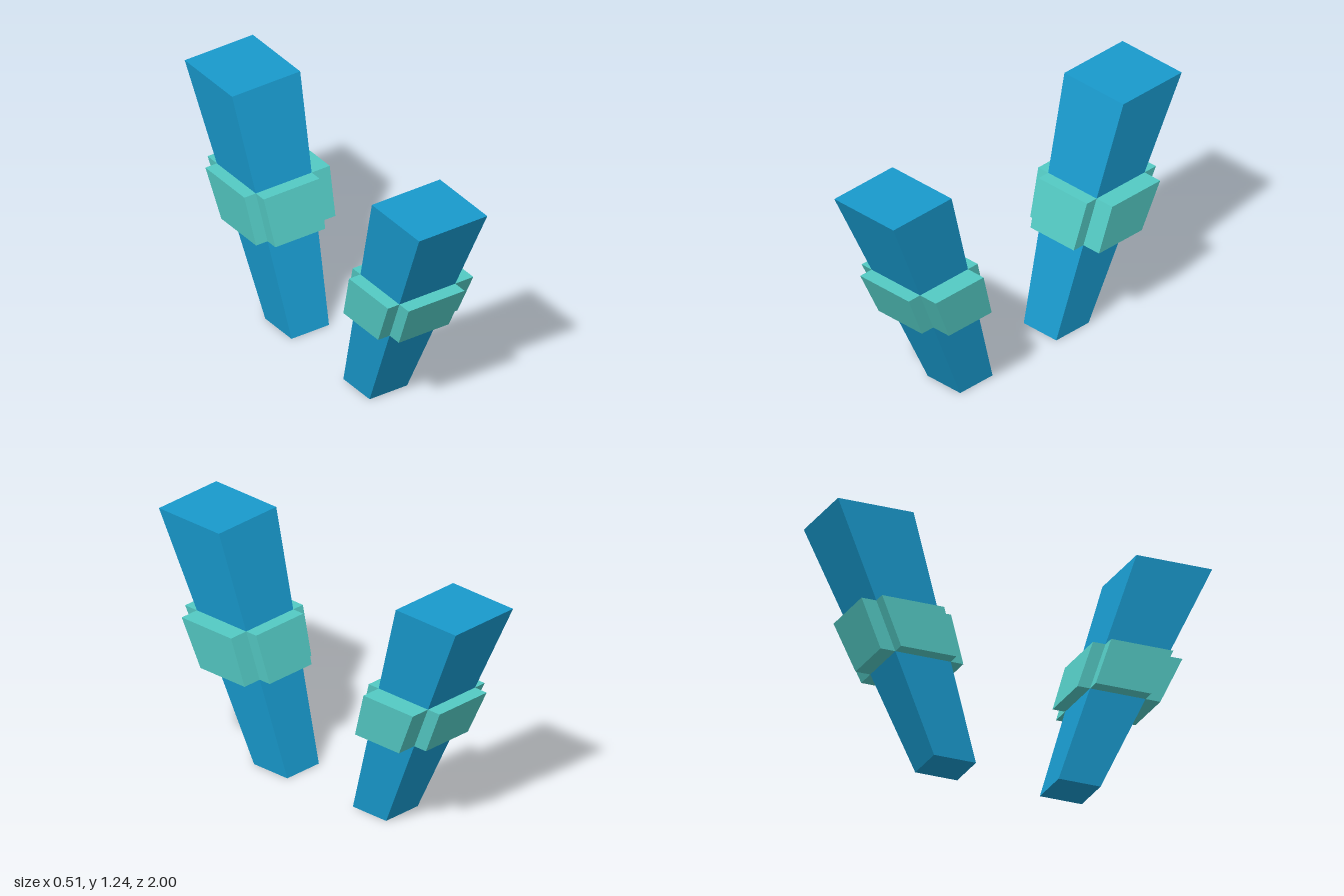
import * as THREE from 'three';

const blue = new THREE.MeshStandardMaterial({ color: 0x1899cc, flatShading: true });
const teal = new THREE.MeshStandardMaterial({ color: 0x53c9c3, flatShading: true });

// Slanted, tapering post: cross-section [x0, x1, z0, z1] at any height
const HEIGHT = 1.235;
const FOOT = [-0.13, 0.092, 0.221, 0.445];
const HEAD = [-0.222, 0.182, 0.596, 1.0];
const section = (y) => FOOT.map((v, i) => THREE.MathUtils.lerp(v, HEAD[i], y / HEIGHT));

// Box whose bottom and top rectangles differ; side (+1 / -1) mirrors it in z
function taperedBox(name, material, y0, y1, bottom, top, side) {
  const geometry = new THREE.BoxGeometry(1, 1, 1);
  const p = geometry.attributes.position;
  for (let i = 0; i < p.count; i++) {
    const r = p.getY(i) > 0 ? top : bottom;
    const x = p.getX(i) > 0 ? r[1] : r[0];
    const far = p.getZ(i) * side > 0;
    p.setXYZ(i, x, p.getY(i) > 0 ? y1 : y0, side * (far ? r[3] : r[2]));
  }
  geometry.computeVertexNormals();
  const mesh = new THREE.Mesh(geometry, material);
  mesh.name = name;
  return mesh;
}

// Pads standing out from the four faces of the post
const PADS = [
  ['rightPad', ([x0, x1, z0, z1]) => [x0 - 0.068, x0, z0, z1]],
  ['leftPad', ([x0, x1, z0, z1]) => [x1, x1 + 0.107, z0, z1]],
  ['innerPad', ([x0, x1, z0, z1]) => [x0, x1, z0 - 0.067, z0]],
  ['outerPad', ([x0, x1, z0, z1]) => [x0, x1, z1, z1 + 0.079]],
];
const PAD_Y0 = 0.498, PAD_Y1 = 0.742;

function createPost(name, side) {
  const post = new THREE.Group();
  post.name = name;
  post.add(taperedBox('shaft', blue, 0, HEIGHT, FOOT, HEAD, side));
  const collar = new THREE.Group();
  collar.name = 'collar';
  for (const [padName, grow] of PADS) {
    collar.add(taperedBox(padName, teal, PAD_Y0, PAD_Y1, grow(section(PAD_Y0)), grow(section(PAD_Y1)), side));
  }
  post.add(collar);
  return post;
}

export function createModel() {
  const model = new THREE.Group();
  model.name = 'slantedPosts';
  model.add(createPost('frontPost', 1), createPost('backPost', -1));
  return model;
}
